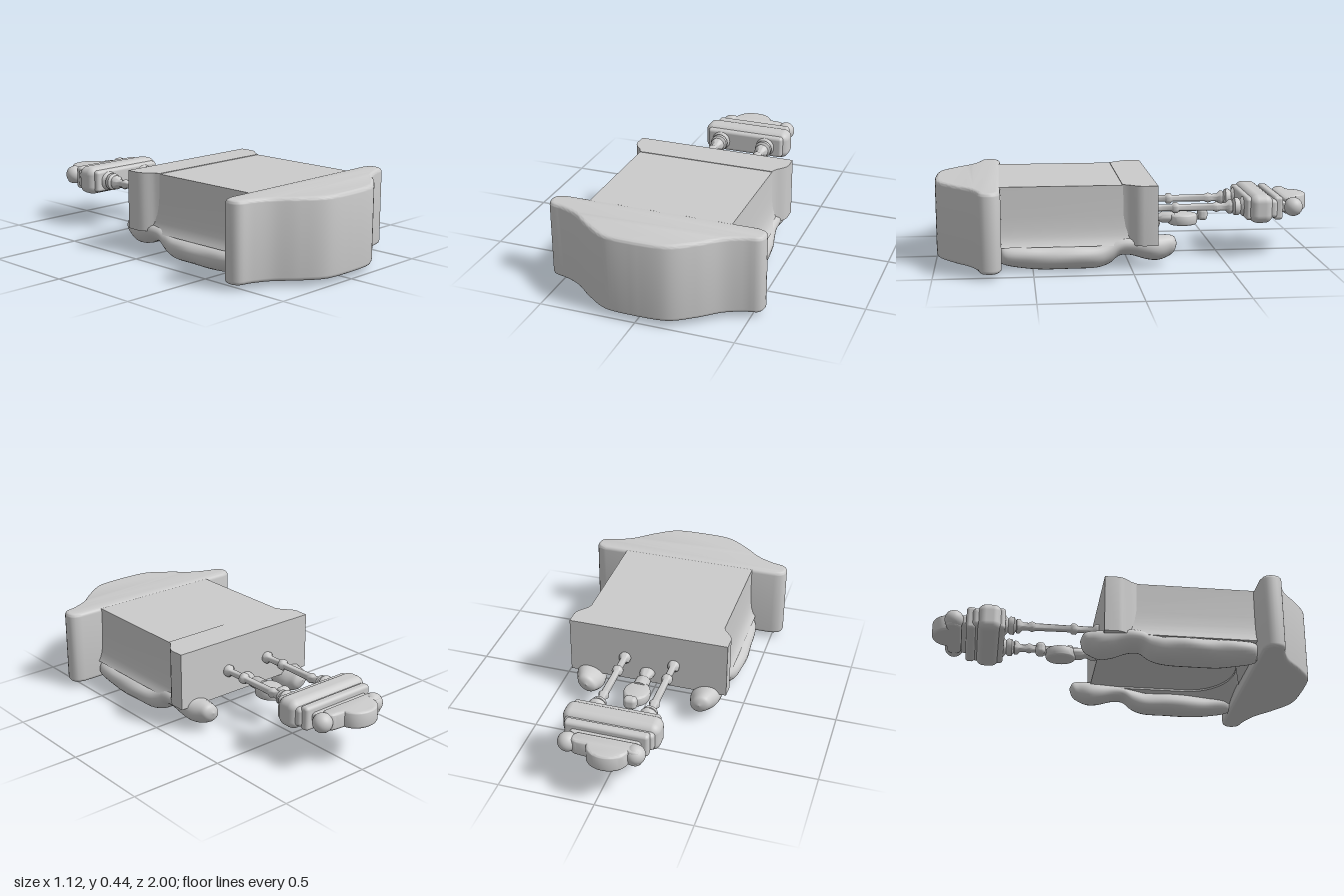
import * as THREE from 'three';
import { RoundedBoxGeometry } from 'three/addons/geometries/RoundedBoxGeometry.js';
import { toCreasedNormals } from 'three/addons/utils/BufferGeometryUtils.js';

export function createModel() {
  const model = new THREE.Group();
  const material = new THREE.MeshStandardMaterial({ color: 0xcccccc, side: THREE.DoubleSide });

  function add(name, geometry, x = 0, y = 0, z = 0) {
    const mesh = new THREE.Mesh(geometry, material);
    mesh.name = name;
    mesh.position.set(x, y, z);
    model.add(mesh);
    return mesh;
  }

  // Extrudes a plan outline drawn as (x, z) from y0 up to y1
  function plan(shape, y0, y1, bevel = 0) {
    const g = new THREE.ExtrudeGeometry(shape, {
      depth: y1 - y0 - 2 * bevel, curveSegments: 20, bevelEnabled: bevel > 0,
      bevelSize: bevel, bevelOffset: -bevel, bevelThickness: bevel, bevelSegments: 5,
    });
    g.rotateX(Math.PI / 2);
    g.translate(0, y1 - bevel, 0);
    return toCreasedNormals(g, 0.7);
  }

  // Mirrors half an outline across x = 0
  const mirrored = (half) => [...half, ...half.filter((p) => p[0] > 0).reverse().map(([x, z]) => [-x, z])]
    .map(([x, z]) => new THREE.Vector2(x, z));

  // Turned part whose axis runs backwards along z; profile is [radius, distance back]
  function turned(profile) {
    const g = new THREE.LatheGeometry(profile.map(([r, d]) => new THREE.Vector2(r, d)), 24);
    return toCreasedNormals(g.rotateX(-Math.PI / 2), 0.9);
  }

  // Bowed front board with rounded ends
  const bow = new THREE.SplineCurve([
    [0.5, 0.658], [0.545, 0.675], [0.56, 0.715], [0.54, 0.762], [0.47, 0.782], [0.38, 0.825],
    [0.28, 0.91], [0.16, 0.985], [0, 0.998],
  ].map(([x, z]) => new THREE.Vector2(x, z))).getSpacedPoints(40).map((p) => [p.x, p.y]);
  const board = mirrored([[0, 0.658], ...bow.slice(0, -1)]);
  // The bow centre lies on the mirror line, so it is inserted between the halves
  board.splice(bow.length, 0, new THREE.Vector2(0, 0.998));
  add('frontBoard', plan(new THREE.Shape(board), 0.03, 0.438, 0.02));

  // Main body, its sides spreading slightly towards the rails
  const section = mirrored([[0.405, 0.13], [0.392, 0.15], [0.382, 0.18], [0.376, 0.22], [0.372, 0.28], [0.371, 0.434]]);
  const body = new THREE.ExtrudeGeometry(new THREE.Shape(section), { depth: 0.76, bevelEnabled: false });
  add('body', toCreasedNormals(body, 0.7), 0, 0, -0.06);

  // Flared rear panel
  const flare = mirrored([
    [0.43, -0.13], [0.431, -0.06], [0.426, -0.04], [0.416, -0.022], [0.402, -0.006], [0.389, 0.008], [0.379, 0.022], [0.37, 0.045],
  ]);
  add('rearPanel', plan(new THREE.Shape(flare), 0.13, 0.437));

  // Underside frame whose arched inner edge slopes up from the front board
  const frame = new THREE.Shape();
  frame.moveTo(0.365, -0.05);
  frame.lineTo(0.365, 0.75);
  frame.lineTo(-0.365, 0.75);
  frame.lineTo(-0.365, -0.05);
  frame.lineTo(-0.27, -0.05);
  frame.lineTo(-0.27, 0.4);
  frame.bezierCurveTo(-0.26, 0.7, 0.26, 0.7, 0.27, 0.4);
  frame.lineTo(0.27, -0.05);
  frame.closePath();
  const frameGeometry = plan(frame, 0.03, 0.14);
  const fp = frameGeometry.attributes.position;
  for (let i = 0; i < fp.count; i++) {
    const inner = Math.abs(fp.getX(i)) < 0.3 || fp.getZ(i) < 0;
    if (fp.getY(i) < 0.1 && inner) fp.setY(i, 0.12);
  }
  frameGeometry.computeVertexNormals();
  add('undersideFrame', frameGeometry);

  // Carved side rails ending in rounded rear feet: [z, x, y, radius x, radius y]
  const stations = [
    [0.67, 0.35, 0.08, 0.03, 0.03], [0.64, 0.352, 0.08, 0.06, 0.05], [0.55, 0.355, 0.073, 0.072, 0.06],
    [0.45, 0.352, 0.067, 0.083, 0.064], [0.3, 0.352, 0.068, 0.086, 0.065], [0.18, 0.352, 0.068, 0.078, 0.062],
    [0.11, 0.345, 0.088, 0.068, 0.062], [0.06, 0.34, 0.115, 0.066, 0.052], [0, 0.335, 0.118, 0.072, 0.054],
    [-0.08, 0.325, 0.105, 0.08, 0.067], [-0.14, 0.318, 0.098, 0.076, 0.068], [-0.19, 0.315, 0.105, 0.058, 0.06],
    [-0.225, 0.312, 0.112, 0.042, 0.042], [-0.242, 0.31, 0.116, 0.001, 0.001],
  ];
  const channels = [0, 1, 2, 3, 4].map((k) =>
    new THREE.CatmullRomCurve3(stations.map((s, i) => new THREE.Vector3(i, s[k], 0))));
  function rail(side) {
    const rows = 65, sides = 24, pos = [], index = [];
    for (let i = 0; i <= rows; i++) {
      const [z, x, y, rx, ry] = channels.map((c) => c.getPoint(i / rows).y);
      for (let j = 0; j < sides; j++) {
        const a = (j / sides) * Math.PI * 2;
        const ripple = 1 + 0.035 * Math.sin(z * 24 + 2 * a);
        const lean = 0.2 * rx * Math.sin(a);
        pos.push(side * (x + Math.cos(a) * rx * ripple + lean), y + Math.sin(a) * ry, z);
        if (i === rows) continue;
        const n = (j + 1) % sides, p = i * sides + j, q = i * sides + n;
        if (side > 0) index.push(p, p + sides, q, q, p + sides, q + sides);
        else index.push(p, q, p + sides, q, q + sides, p + sides);
      }
    }
    const g = new THREE.BufferGeometry();
    g.setAttribute('position', new THREE.Float32BufferAttribute(pos, 3));
    g.setIndex(index);
    g.computeVertexNormals();
    return g;
  }
  add('leftRail', rail(1));
  add('rightRail', rail(-1));

  // Two turned rods reaching back to the crossbar
  const rodProfile = [
    [0, 0], [0.03, 0], [0.032, 0.025], [0.018, 0.04], [0.018, 0.12], [0.029, 0.13], [0.029, 0.15], [0.018, 0.16],
    [0.02, 0.34], [0.028, 0.36], [0.02, 0.38], [0.022, 0.41], [0.038, 0.425], [0.038, 0.44], [0.03, 0.445],
    [0.047, 0.455], [0.047, 0.475], [0.037, 0.485], [0.053, 0.5], [0.053, 0.515], [0, 0.515],
  ];
  for (const x of [-0.145, 0.123]) add('rod', turned(rodProfile), x, 0.265, -0.12);

  // Stepped crossbar: [width, height, depth, z]
  const slabs = [
    [0.45, 0.12, 0.05, -0.645], [0.5, 0.152, 0.125, -0.703], [0.46, 0.1, 0.06, -0.76], [0.43, 0.125, 0.05, -0.797],
    [0.36, 0.06, 0.05, -0.825],
  ];
  for (const [w, h, d, z] of slabs) {
    add('crossbar', new RoundedBoxGeometry(w, h, d, 4, Math.min(h, d) * 0.35), -0.003, 0.267, z);
  }

  // Finial balls and rounded crest
  for (const x of [-0.175, 0.168]) add('finialBall', new THREE.SphereGeometry(0.05, 24, 16), x, 0.267, -0.885);
  const crest = new THREE.Shape();
  crest.moveTo(-0.17, -0.845);
  crest.lineTo(0.12, -0.845);
  crest.bezierCurveTo(0.16, -0.86, 0.16, -0.92, 0.11, -0.92);
  crest.lineTo(0.06, -0.925);
  crest.bezierCurveTo(0.04, -1.025, -0.13, -1.025, -0.15, -0.92);
  crest.bezierCurveTo(-0.22, -0.945, -0.23, -0.86, -0.17, -0.845);
  add('crest', plan(crest, 0.22, 0.308, 0.014));

  // Small pendant between the rods: turned neck, flat rounded plate and knob
  const neck = turned([
    [0, 0], [0.042, 0], [0.038, 0.035], [0.027, 0.06], [0.027, 0.07], [0.04, 0.085], [0.04, 0.15], [0, 0.15],
  ]);
  add('pendantNeck', neck, 0, 0.19, -0.12).scale.y = 0.75;
  const plate = new THREE.Shape();
  plate.absellipse(0, -0.317, 0.069, 0.08, 0, Math.PI * 2);
  add('pendantPlate', plan(plate, 0.15, 0.21, 0.016));
  add('pendantStem', new RoundedBoxGeometry(0.035, 0.03, 0.06, 3, 0.01), 0, 0.19, -0.395);
  add('pendantKnob', new RoundedBoxGeometry(0.07, 0.068, 0.052, 4, 0.022), 0, 0.205, -0.425);

  return model;
}
